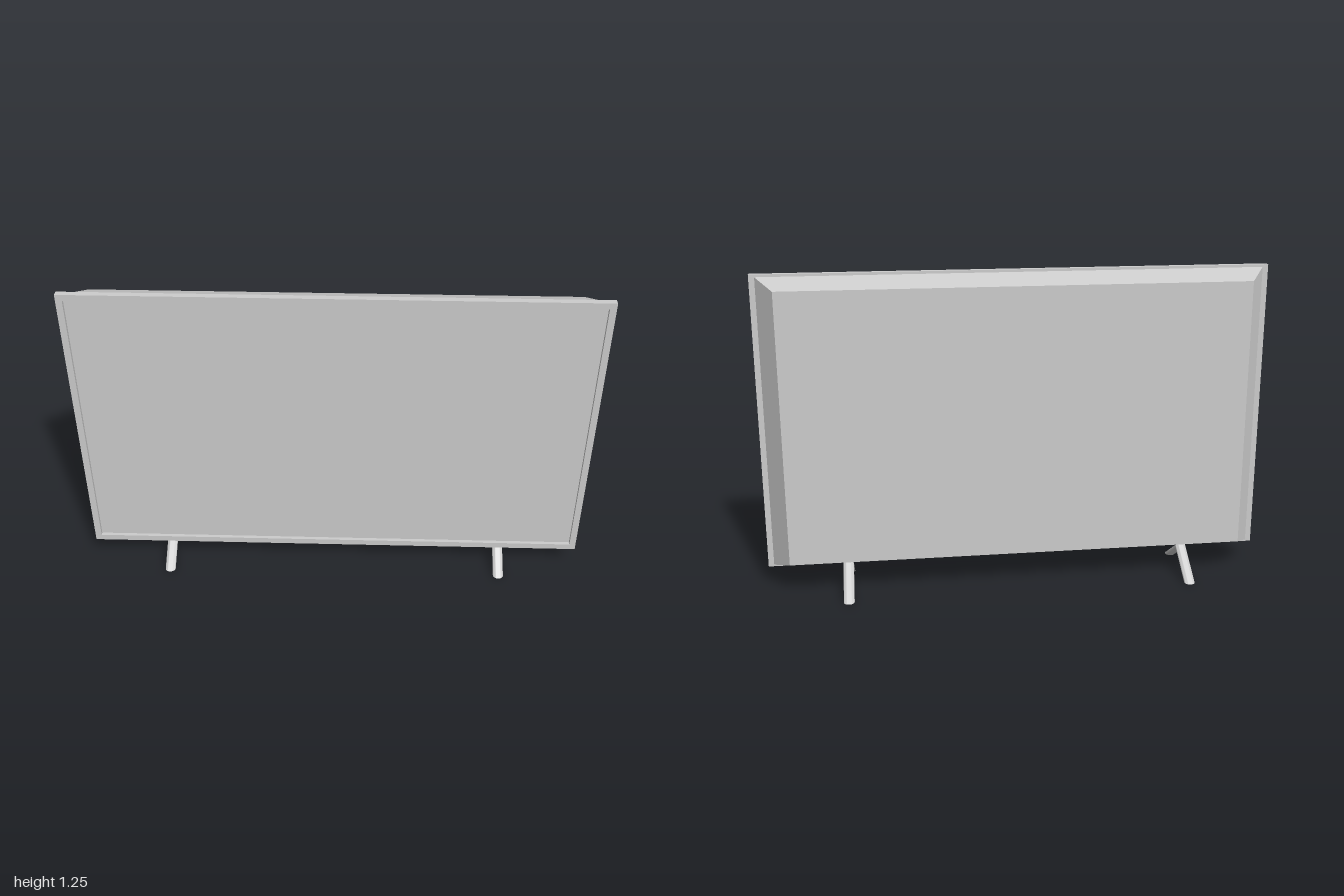
import * as THREE from 'three';
import { toCreasedNormals } from 'three/addons/utils/BufferGeometryUtils.js';

const material = new THREE.MeshStandardMaterial({ color: 0xcccccc });

function add(parent, name, geometry) {
  const mesh = new THREE.Mesh(geometry, material);
  mesh.name = name;
  parent.add(mesh);
  return mesh;
}

function rectangle(target, x, y0, y1) {
  target.moveTo(-x, y0);
  target.lineTo(x, y0);
  target.lineTo(x, y1);
  target.lineTo(-x, y1);
  target.closePath();
  return target;
}

export function createModel() {
  const model = new THREE.Group();
  model.name = 'television';

  // Thin bezel around the screen
  const front = 0.072, rim = 0.048;
  const outline = rectangle(new THREE.Shape(), 1, 0.083, 1.254);
  outline.holes.push(rectangle(new THREE.Path(), 0.975, 0.108, 1.229));
  const bezel = new THREE.ExtrudeGeometry(outline, { depth: front - rim, bevelEnabled: false });
  add(model, 'bezel', bezel.translate(0, 0, rim));

  // Recessed screen panel
  const screen = add(model, 'screen', new THREE.BoxGeometry(1.95, 1.121, 0.01));
  screen.position.set(0, 0.6685, 0.053);

  // Rear housing, tapering towards the back
  const back = -0.057;
  const housing = new THREE.BoxGeometry(2, 2, 2);
  const p = housing.attributes.position;
  for (let i = 0; i < p.count; i++) {
    const rear = p.getZ(i) < 0;
    const x = rear ? 0.908 : 0.978;
    const low = rear ? 0.128 : 0.09, high = rear ? 1.206 : 1.244;
    p.setXYZ(i, Math.sign(p.getX(i)) * x, p.getY(i) < 0 ? low : high, rear ? back : rim);
  }
  add(model, 'rearHousing', toCreasedNormals(housing, 0.1));

  // Slanted leg: round flat foot on the ground, mitred at the centre plane
  const slope = 0.65, footZ = 0.15;
  let leg = new THREE.CylinderGeometry(0.021, 0.021, 1, 32, 1);
  const q = leg.attributes.position;
  for (let i = 0; i < q.count; i++) {
    const z = footZ + q.getZ(i);
    if (q.getY(i) < 0) q.setXYZ(i, q.getX(i), 0, z);
    else q.setXYZ(i, q.getX(i), slope * z, 0);
  }
  leg = toCreasedNormals(leg, 0.8);

  // Two V-shaped stands, each a front and a rear leg
  for (const side of [-1, 1]) {
    const stand = new THREE.Group();
    stand.name = side > 0 ? 'leftStand' : 'rightStand';
    stand.position.x = side * 0.682;
    add(stand, 'frontLeg', leg);
    add(stand, 'rearLeg', leg).rotation.y = Math.PI;
    model.add(stand);
  }
  return model;
}
